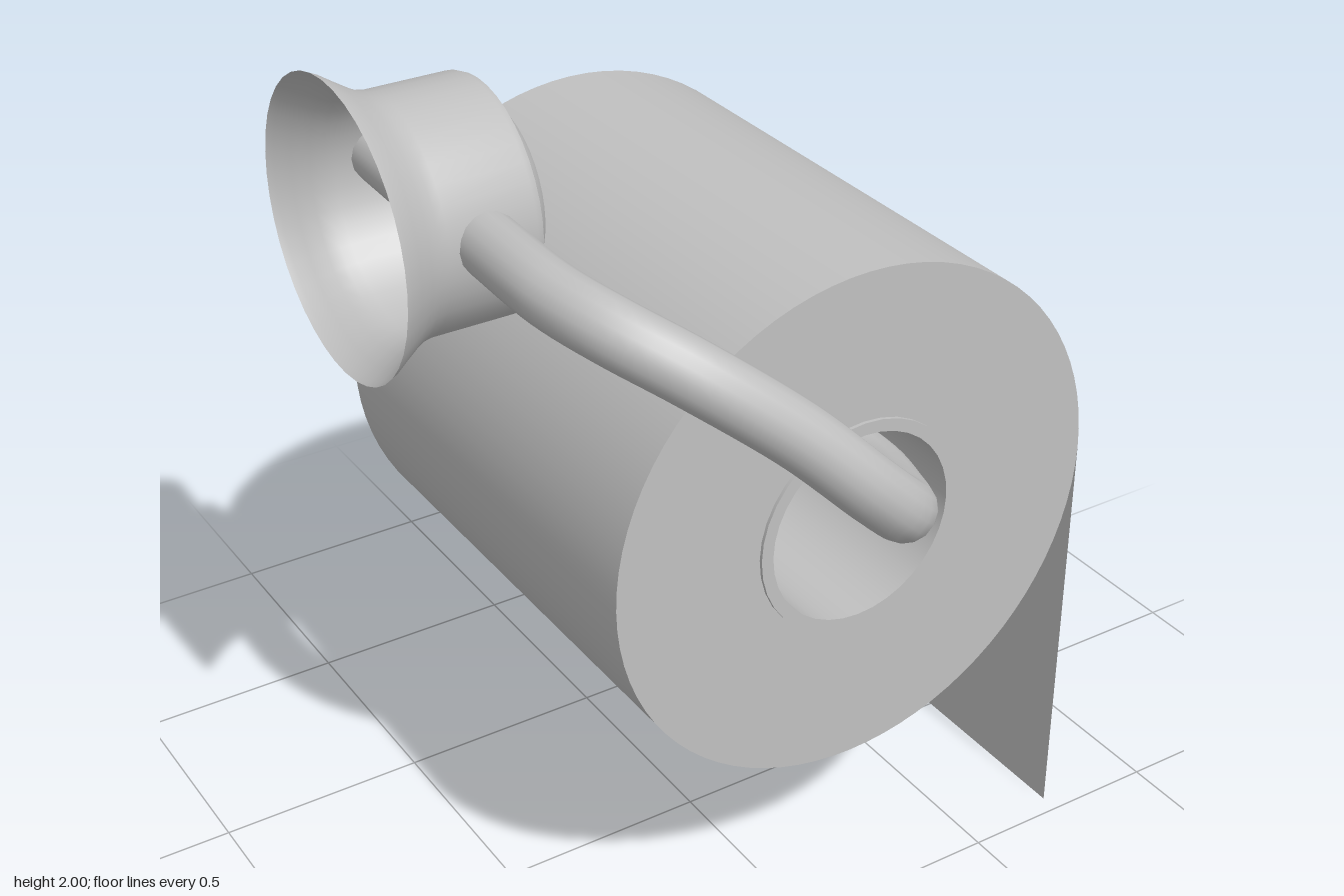
import * as THREE from 'three';
import { toCreasedNormals } from 'three/addons/utils/BufferGeometryUtils.js';

const grey = new THREE.MeshStandardMaterial({ color: 0xc0c0c0, side: THREE.DoubleSide });
grey.name = 'light grey';

const ROLL = { x: 0.135, y: 1.01, r: 0.603, back: -0.74, front: 0.456 };

function part(name, geometry, parent) {
  const mesh = new THREE.Mesh(geometry, grey);
  mesh.name = name;
  parent.add(mesh);
  return mesh;
}

// Ring-shaped cylinder along z, from z0 to z1
function ring(outer, inner, z0, z1, segments) {
  const shape = new THREE.Shape().absarc(0, 0, outer, 0, Math.PI * 2, false);
  shape.holes.push(new THREE.Path().absarc(0, 0, inner, 0, Math.PI * 2, true));
  const g = new THREE.ExtrudeGeometry(shape, { depth: z1 - z0, bevelEnabled: false, curveSegments: segments });
  g.translate(0, 0, z0);
  return toCreasedNormals(g, 0.6);
}

function lathe(profile, segments) {
  const g = new THREE.LatheGeometry(profile.map(([r, y]) => new THREE.Vector2(r, y)), segments);
  return toCreasedNormals(g, 0.65);
}

export function createModel() {
  const model = new THREE.Group();
  model.name = 'paperRollHolder';

  // Paper roll, cardboard core and hanging sheet
  const roll = new THREE.Group();
  roll.name = 'roll';
  roll.position.set(ROLL.x, ROLL.y, 0);
  model.add(roll);
  part('paper', ring(ROLL.r, 0.25, ROLL.back, ROLL.front, 40), roll);
  part('core', ring(0.255, 0.226, ROLL.back - 0.008, ROLL.front + 0.008, 18), roll);

  const sheet = part('hangingSheet', new THREE.PlaneGeometry(ROLL.front - ROLL.back, ROLL.y), model);
  sheet.rotation.y = Math.PI / 2;
  sheet.position.set(ROLL.x + ROLL.r, ROLL.y / 2, (ROLL.front + ROLL.back) / 2);

  // Flared wall mount, open at the wall
  const mount = part('wallMount', lathe([
    [0.325, 0], [0.318, 0.015], [0.298, 0.045], [0.277, 0.078], [0.264, 0.105], [0.259, 0.13],
    [0.259, 0.325], [0.253, 0.34], [0.238, 0.347], [0.222, 0.352], [0.205, 0.365],
    [0.185, 0.382], [0.172, 0.388], [0, 0.388],
  ], 40), model);
  mount.rotation.z = -Math.PI / 2;
  mount.position.set(-0.742, 1.677, -0.165);

  // Bent rod: through the mount, round the front and through the core
  const path = new THREE.CatmullRomCurve3([
    [-0.505, 1.695, -0.575], [-0.515, 1.695, -0.2], [-0.525, 1.695, 0.1], [-0.527, 1.695, 0.35],
    [-0.485, 1.675, 0.5], [-0.385, 1.61, 0.61], [-0.2, 1.46, 0.695], [-0.05, 1.31, 0.735],
    [0.05, 1.215, 0.71], [0.11, 1.17, 0.61], [0.17, 1.135, 0.45], [0.172, 1.135, 0.3],
    [0.155, 1.145, -0.2], [0.135, 1.16, -0.745],
  ].map((p) => new THREE.Vector3(...p)));
  part('bentRod', new THREE.TubeGeometry(path, 110, 0.068, 16, false), model);

  // Grooved knobs on both rod ends
  const knob = lathe([
    [0.068, 0], [0.057, 0.006], [0.057, 0.018], [0.069, 0.024], [0.069, 0.046],
    [0.064, 0.058], [0.054, 0.064], [0, 0.064],
  ], 20);
  for (const [name, x, y, z] of [['upperKnob', -0.505, 1.695, -0.575], ['lowerKnob', 0.135, 1.16, -0.743]]) {
    const k = part(name, knob, model);
    k.rotation.x = -Math.PI / 2;
    k.position.set(x, y, z);
  }

  return model;
}
